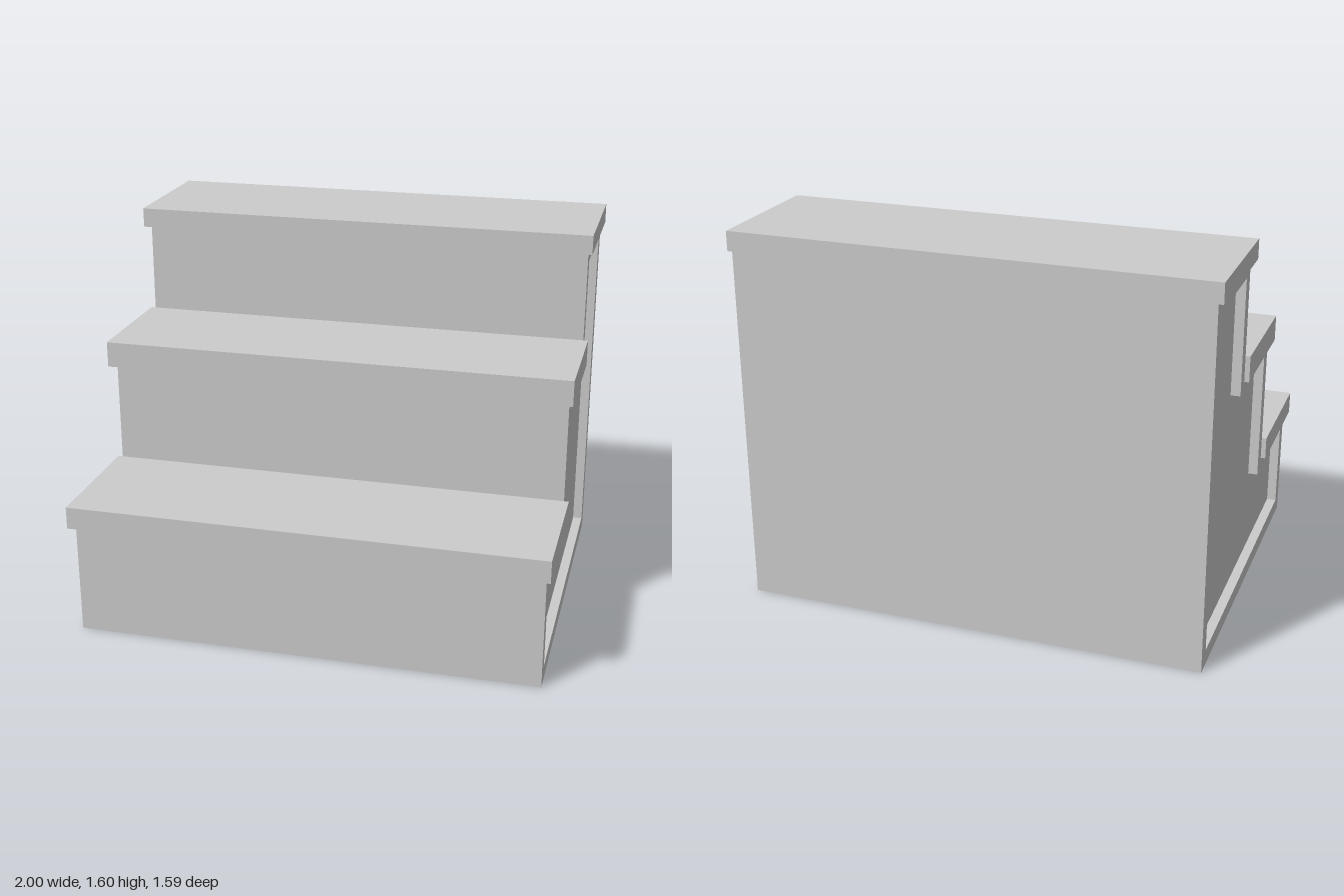
import * as THREE from 'three';

const HALF = 0.98;      // half width of the body
const RECESS = 0.04;    // depth of the sunken side panels

// Side profiles as [z, y]
const OUTLINE = [
  [0.755, 0], [0.755, 0.485], [0.23, 0.485], [0.23, 1.02],
  [-0.245, 1.02], [-0.245, 1.52], [-0.795, 1.52], [-0.795, 0],
];
const INSET = [
  [0.695, 0.065], [0.695, 0.43], [0.17, 0.43], [0.17, 0.98],
  [-0.305, 0.98], [-0.305, 1.47], [-0.73, 1.47], [-0.73, 0.065],
];

// Treads: front z, back z, bottom y, top y
const TREADS = [
  ['lowerTread', 0.797, 0.23, 0.485, 0.58],
  ['middleTread', 0.283, -0.245, 1.02, 1.13],
  ['upperTread', -0.203, -0.797, 1.52, 1.603],
];

const toVectors = (pts) => pts.map(([z, y]) => new THREE.Vector2(-z, y));

// Flat-shaded sheet that sweeps a [z, y] profile from x0 to x1
function sweep(profile, x0, x1, closed) {
  const pos = [];
  const count = closed ? profile.length : profile.length - 1;
  for (let i = 0; i < count; i++) {
    const [za, ya] = profile[i];
    const [zb, yb] = profile[(i + 1) % profile.length];
    pos.push(x0, ya, za, x1, ya, za, x1, yb, zb);
    pos.push(x0, ya, za, x1, yb, zb, x0, yb, zb);
  }
  const geo = new THREE.BufferGeometry();
  geo.setAttribute('position', new THREE.Float32BufferAttribute(pos, 3));
  geo.computeVertexNormals();
  return geo;
}

// Flat shape standing in the plane x = constant
function sideSheet(shape, x) {
  return new THREE.ShapeGeometry(shape).rotateY(Math.PI / 2).translate(x, 0, 0);
}

export function createModel() {
  const model = new THREE.Group();
  model.name = 'steps';
  const solid = new THREE.MeshStandardMaterial({ color: 0xcccccc });
  const sheet = new THREE.MeshStandardMaterial({ color: 0xcccccc, side: THREE.DoubleSide });
  const add = (parent, name, geo, mat) => {
    const mesh = new THREE.Mesh(geo, mat);
    mesh.name = name;
    parent.add(mesh);
  };

  // Hollow stepped body, open underneath
  add(model, 'risersAndBack', sweep(OUTLINE, -HALF, HALF, false), sheet);

  // Side walls: border, recess edge and sunken panel
  for (const [name, s] of [['leftSide', 1], ['rightSide', -1]]) {
    const side = new THREE.Group();
    side.name = name;
    const border = new THREE.Shape(toVectors(OUTLINE));
    border.holes.push(new THREE.Path(toVectors(INSET)));
    const inner = s * (HALF - RECESS);
    add(side, 'border', sideSheet(border, s * HALF), sheet);
    add(side, 'recessEdge', sweep(INSET, inner, s * HALF, true), sheet);
    add(side, 'sunkenPanel', sideSheet(new THREE.Shape(toVectors(INSET)), inner), sheet);
    model.add(side);
  }

  // Overhanging treads
  for (const [name, front, back, bottom, top] of TREADS) {
    const geo = new THREE.BoxGeometry(2, top - bottom, front - back);
    geo.translate(0, (top + bottom) / 2, (front + back) / 2);
    add(model, name, geo, solid);
  }
  return model;
}
